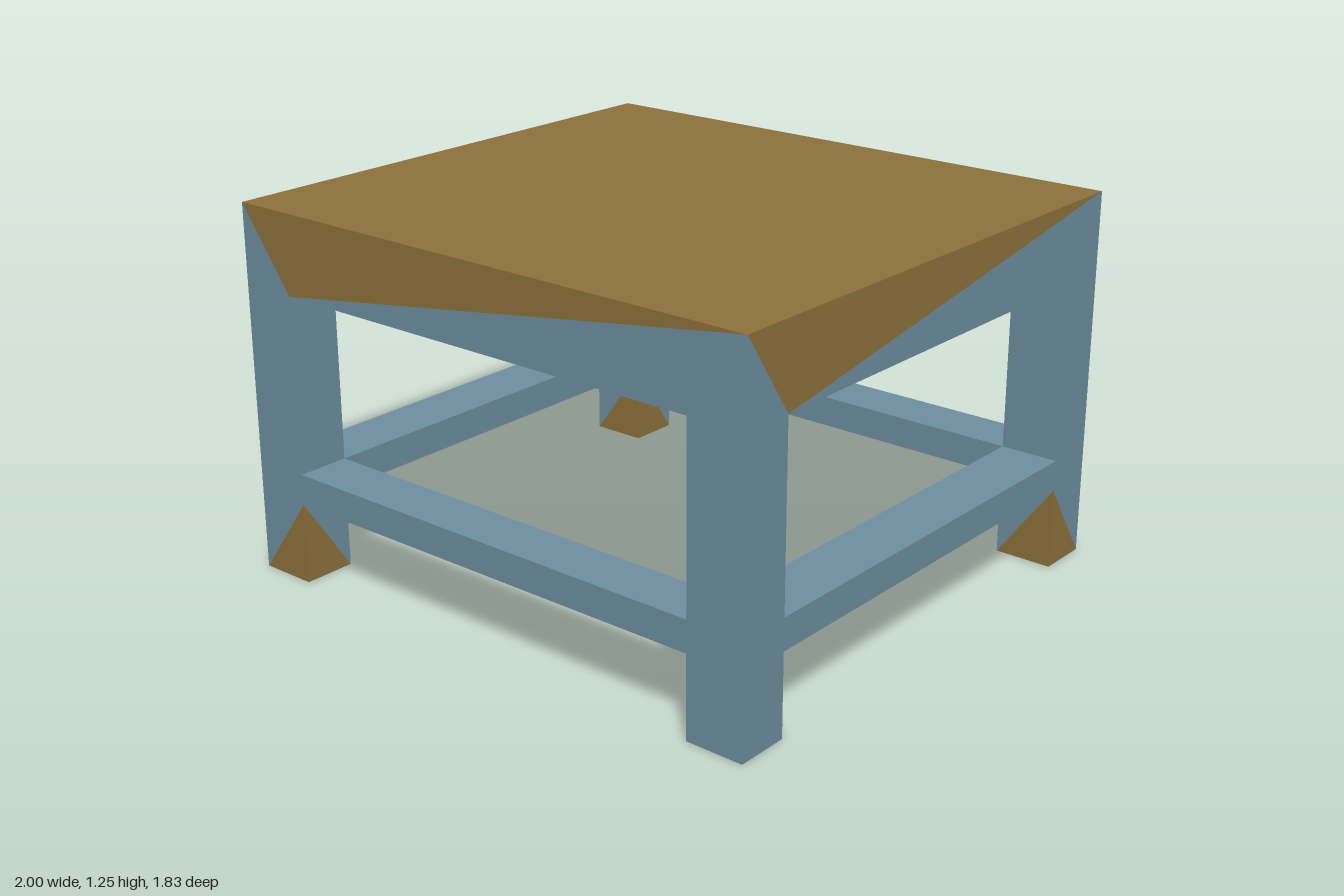
import * as THREE from 'three';

const blue = new THREE.MeshStandardMaterial({ color: 0x6f90a2, flatShading: true });
const brown = new THREE.MeshStandardMaterial({ color: 0x8f733c, flatShading: true });

// Half sizes of the table, inner edges of the legs, and heights
const W = 1, D = 0.917, WI = 0.8, DI = 0.735;
const RAIL0 = 0.275, RAIL1 = 0.38, SEAT0 = 0.98, TOP = 1.25;

// One mesh from convex polygons, corners anticlockwise as seen from outside
function faces(name, material, polygons) {
  const pos = [];
  for (const p of polygons) {
    for (let k = 1; k < p.length - 1; k++) pos.push(...p[0], ...p[k], ...p[k + 1]);
  }
  const g = new THREE.BufferGeometry();
  g.setAttribute('position', new THREE.Float32BufferAttribute(pos, 3));
  g.computeVertexNormals();
  const mesh = new THREE.Mesh(g, material);
  mesh.name = name;
  return mesh;
}

// Upright polygon at depth z; turned round to face inwards on request
const upright = (pts, z, outward) => {
  const area = pts.reduce((s, [x, y], k) => {
    const [u, v] = pts[(k + 1) % pts.length];
    return s + x * v - u * y;
  }, 0);
  const p = pts.map(([x, y]) => [x, y, z]);
  return (area > 0) === outward ? p : p.reverse();
};

// Level rectangle facing up or down
const level = (x0, x1, z0, z1, y, up) => {
  const p = [[x0, y, z1], [x1, y, z1], [x1, y, z0], [x0, y, z0]];
  return up ? p : p.reverse();
};

// One side of the frame facing +z; foot = -1 or 1 is the end with the painted foot
function sideFrame(name, w, i, d, di, foot) {
  const g = new THREE.Group();
  g.name = name;
  const legs = [], paint = [];
  for (const s of [-1, 1]) {
    const a = s * w, b = s * i, painted = s === foot;
    // Outer leg face
    legs.push(upright([[a, 0], [b, painted ? RAIL0 : 0], [b, SEAT0], [a, TOP]], d, true));
    if (painted) paint.push(upright([[a, 0], [b, 0], [b, RAIL0]], d, true));
    // Inner leg face above the rail
    legs.push(upright([[a, RAIL1], [b, RAIL1], [b, SEAT0], [a, SEAT0]], di, false));
    // Inner leg face below the rail, split on a diagonal
    const [p, q] = painted ? [a, b] : [b, a];
    paint.push(upright([[p, RAIL0], [p, 0], [q, 0]], di, false));
    legs.push(upright([[p, RAIL0], [q, 0], [q, RAIL0]], di, false));
  }
  const rail = [[-i, RAIL0], [i, RAIL0], [i, RAIL1], [-i, RAIL1]];
  g.add(
    faces('legs', blue, legs),
    faces('footPaint', brown, paint),
    faces('rail', blue, [
      upright(rail, d, true), upright(rail, di, false),
      level(-i, i, di, d, RAIL0, false), level(-i, i, di, d, RAIL1, true),
    ]),
    faces('apron', blue, [upright([[-i, SEAT0], [i, SEAT0], [w, TOP]], d, true)]),
    faces('topEdge', brown, [upright([[-w, TOP], [-i, SEAT0], [w, TOP]], d, true)]),
  );
  return g;
}

export function createModel() {
  const table = new THREE.Group();
  table.name = 'table';

  // Four sides, opposite ones alike
  ['front', 'right', 'back', 'left'].forEach((n, k) => {
    const side = k % 2
      ? sideFrame(n + 'Frame', D, DI, W, WI, 1)
      : sideFrame(n + 'Frame', W, WI, D, DI, -1);
    side.rotation.y = k * Math.PI / 2;
    table.add(side);
  });

  // Table top and its underside
  table.add(faces('tableTop', brown, [level(-W, W, -D, D, TOP, true)]));
  table.add(faces('underside', blue, [level(-W, W, -DI, DI, SEAT0, false),
    level(-WI, WI, DI, D, SEAT0, false), level(-WI, WI, -D, -DI, SEAT0, false)]));

  // Soles of the legs, and rail corners under them left open
  const soles = [];
  for (const [x0, x1] of [[-W, -WI], [WI, W]]) {
    for (const [z0, z1] of [[-D, -DI], [DI, D]]) soles.push(level(x0, x1, z0, z1, 0, false));
  }
  table.add(faces('footSoles', brown, soles));
  return table;
}
